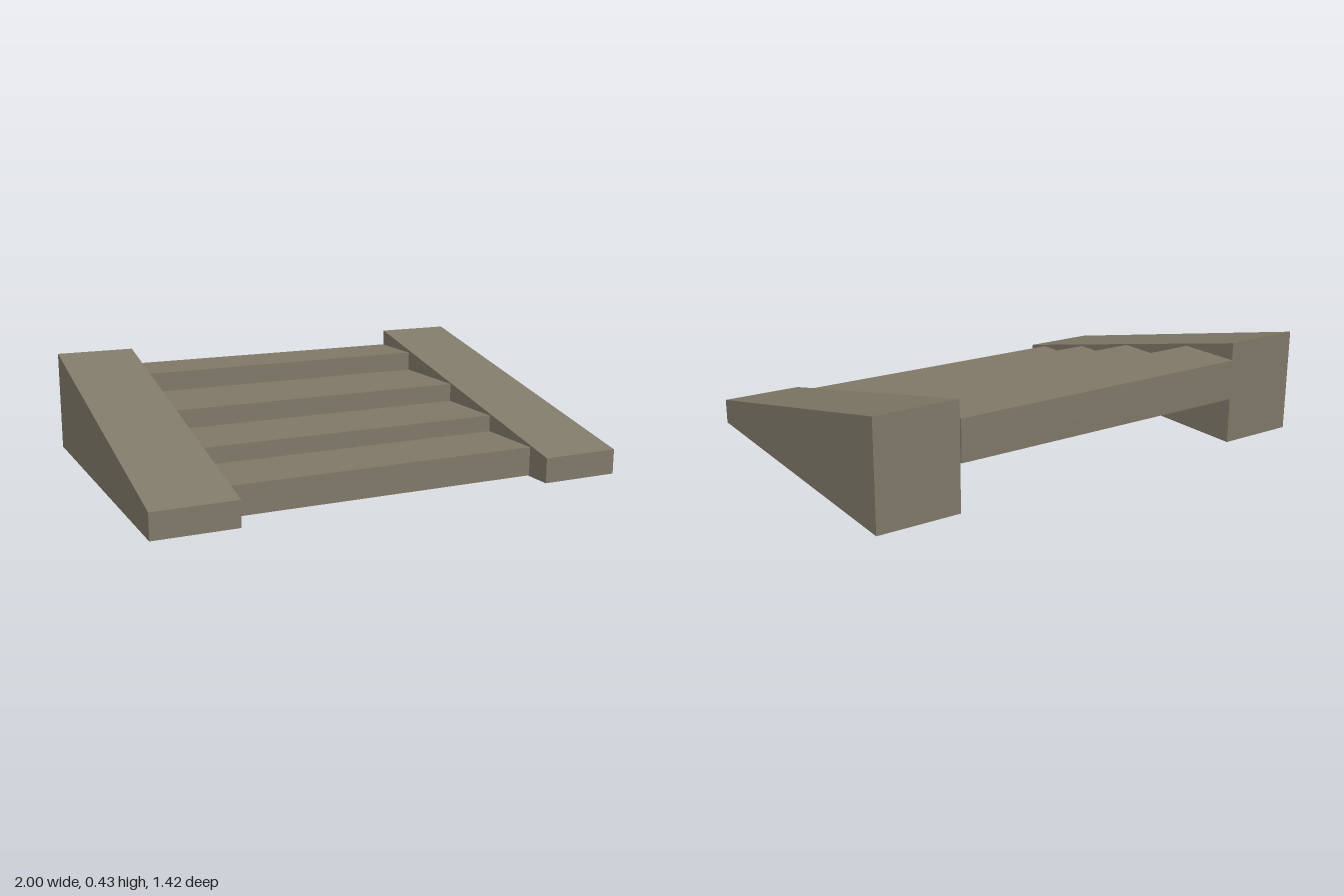
import * as THREE from 'three';

const stone = new THREE.MeshStandardMaterial({ color: 0x807969 });
stone.name = 'stone';

// Extrudes a side profile of [z, y] points across x, from x0 to x1
function sideExtrusion(name, points, x0, x1) {
  const shape = new THREE.Shape(points.map(([z, y]) => new THREE.Vector2(-z, y)));
  const geometry = new THREE.ExtrudeGeometry(shape, { depth: x1 - x0, bevelEnabled: false });
  geometry.rotateY(Math.PI / 2);
  geometry.translate(x0, 0, 0);
  const mesh = new THREE.Mesh(geometry, stone);
  mesh.name = name;
  return mesh;
}

export function createModel() {
  const group = new THREE.Group();
  group.name = 'staircase';

  // Sloping side walls
  const wall = [[0.71, 0], [0.71, 0.105], [-0.71, 0.432], [-0.71, 0]];
  group.add(sideExtrusion('leftWall', wall, 0.66, 1));
  group.add(sideExtrusion('rightWall', wall, -1, -0.66));

  // Four steps, with a stepped hollow underneath at the back
  const front = [0.595, 0.29, -0.043, -0.44];
  const top = [0.125, 0.195, 0.275, 0.36];
  const base = 0.004, back = -0.715;
  const profile = [[front[0], base]];
  for (let i = 0; i < 4; i++) {
    profile.push([front[i], top[i]], [i < 3 ? front[i + 1] : back, top[i]]);
  }
  profile.push(
    [back, 0.193], [-0.44, 0.193],
    [-0.44, 0.125], [-0.053, 0.125],
    [-0.053, base],
  );
  group.add(sideExtrusion('steps', profile, -0.658, 0.658));

  return group;
}
